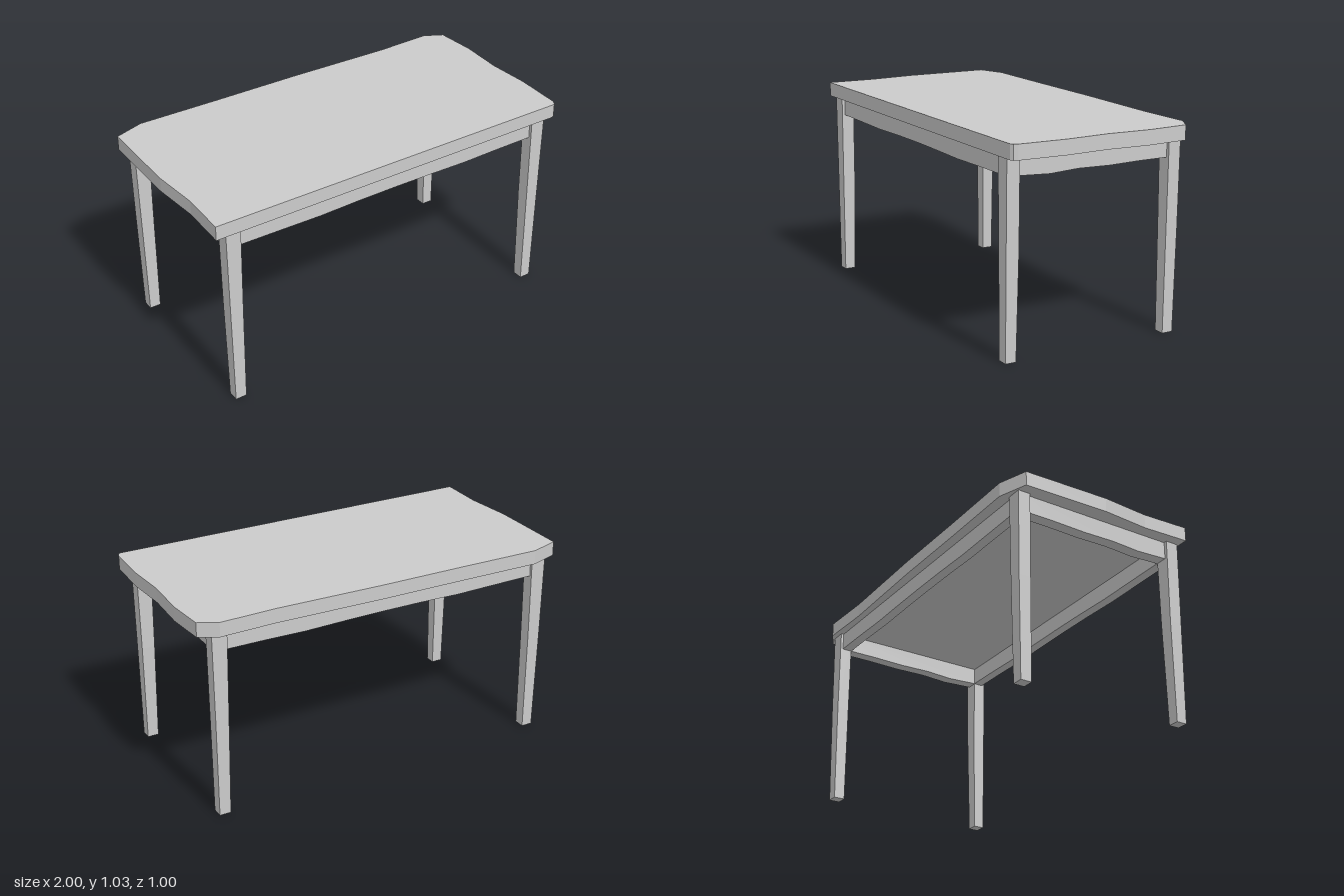
import * as THREE from 'three';

const material = new THREE.MeshStandardMaterial({ color: 0xcccccc, flatShading: true });
const TOP = 1.03, UNDER = 0.957;

function add(group, geometry, name) {
  const mesh = new THREE.Mesh(geometry, material);
  mesh.name = name;
  group.add(mesh);
  return mesh;
}

// Slab with an irregular, hand-hewn outline given as [x, z] points
function tabletop() {
  const outline = [
    [-0.99, 0.495], [0.965, 0.495], [0.98, 0.487], [0.988, 0.465], [0.998, 0.22],
    [0.985, 0], [0.998, -0.23], [0.983, -0.437], [0.89, -0.487], [0.6, -0.478],
    [0.05, -0.492], [-0.4, -0.494], [-0.84, -0.5], [-0.99, -0.45], [-1, 0], [-0.98, 0.25],
  ];
  const shape = new THREE.Shape(outline.map(([x, z]) => new THREE.Vector2(x, -z)));
  const geometry = new THREE.ExtrudeGeometry(shape, { depth: TOP - UNDER, bevelEnabled: false });
  return geometry.rotateX(-Math.PI / 2).translate(0, UNDER, 0);
}

// Four-sided leg narrowing downwards; each section is [x0, x1, z0, z1], from foot to top
function leg(sections) {
  const geometry = new THREE.BoxGeometry(1, 1, 1, 1, 2, 1);
  const heights = [0, 0.52, UNDER];
  const p = geometry.attributes.position;
  for (let i = 0; i < p.count; i++) {
    const row = Math.round((p.getY(i) + 0.5) * 2);
    const [x0, x1, z0, z1] = sections[row];
    p.setXYZ(i, p.getX(i) < 0 ? x0 : x1, heights[row], p.getZ(i) < 0 ? z0 : z1);
  }
  geometry.computeVertexNormals();
  return geometry;
}

// Rail with a gently wavy lower edge, given as [along, y] points
function apron(lower, thickness) {
  const start = lower[0][0], end = lower[lower.length - 1][0];
  const points = [...lower, [end, UNDER], [start, UNDER]];
  const shape = new THREE.Shape(points.map(([a, y]) => new THREE.Vector2(a, y)));
  return new THREE.ExtrudeGeometry(shape, { depth: thickness, bevelEnabled: false });
}

export function createModel() {
  const table = new THREE.Group();
  table.name = 'table';
  add(table, tabletop(), 'tabletop');

  // Legs: x and z ranges at foot, middle and top
  const xRanges = {
    Right: [[-0.924, -0.866], [-0.93, -0.862], [-0.935, -0.857]],
    Left: [[0.851, 0.909], [0.846, 0.914], [0.841, 0.919]],
  };
  const zRanges = {
    front: [[0.429, 0.484], [0.418, 0.484], [0.417, 0.484]],
    back: [[-0.446, -0.389], [-0.454, -0.391], [-0.457, -0.392]],
  };
  for (const [end, zs] of Object.entries(zRanges)) {
    for (const [side, xs] of Object.entries(xRanges)) {
      add(table, leg(xs.map((x, i) => [...x, ...zs[i]])), `${end}${side}Leg`);
    }
  }

  // Long aprons along x
  const longEdge = [
    [-0.87, 0.868], [-0.62, 0.865], [-0.42, 0.862], [-0.2, 0.867], [0.02, 0.868],
    [0.22, 0.866], [0.43, 0.862], [0.65, 0.866], [0.86, 0.867],
  ];
  add(table, apron(longEdge, 0.052), 'frontApron').position.z = 0.416;
  add(table, apron(longEdge, 0.052), 'backApron').position.z = -0.443;

  // Short aprons along z
  const shortEdge = [
    [-0.42, 0.867], [-0.25, 0.858], [-0.1, 0.866], [0.07, 0.862], [0.24, 0.866], [0.4, 0.866],
  ];
  for (const [name, x] of [['rightApron', -0.917], ['leftApron', 0.84]]) {
    const rail = add(table, apron(shortEdge, 0.061), name);
    rail.rotation.y = Math.PI / 2;
    rail.position.x = x;
  }
  return table;
}
